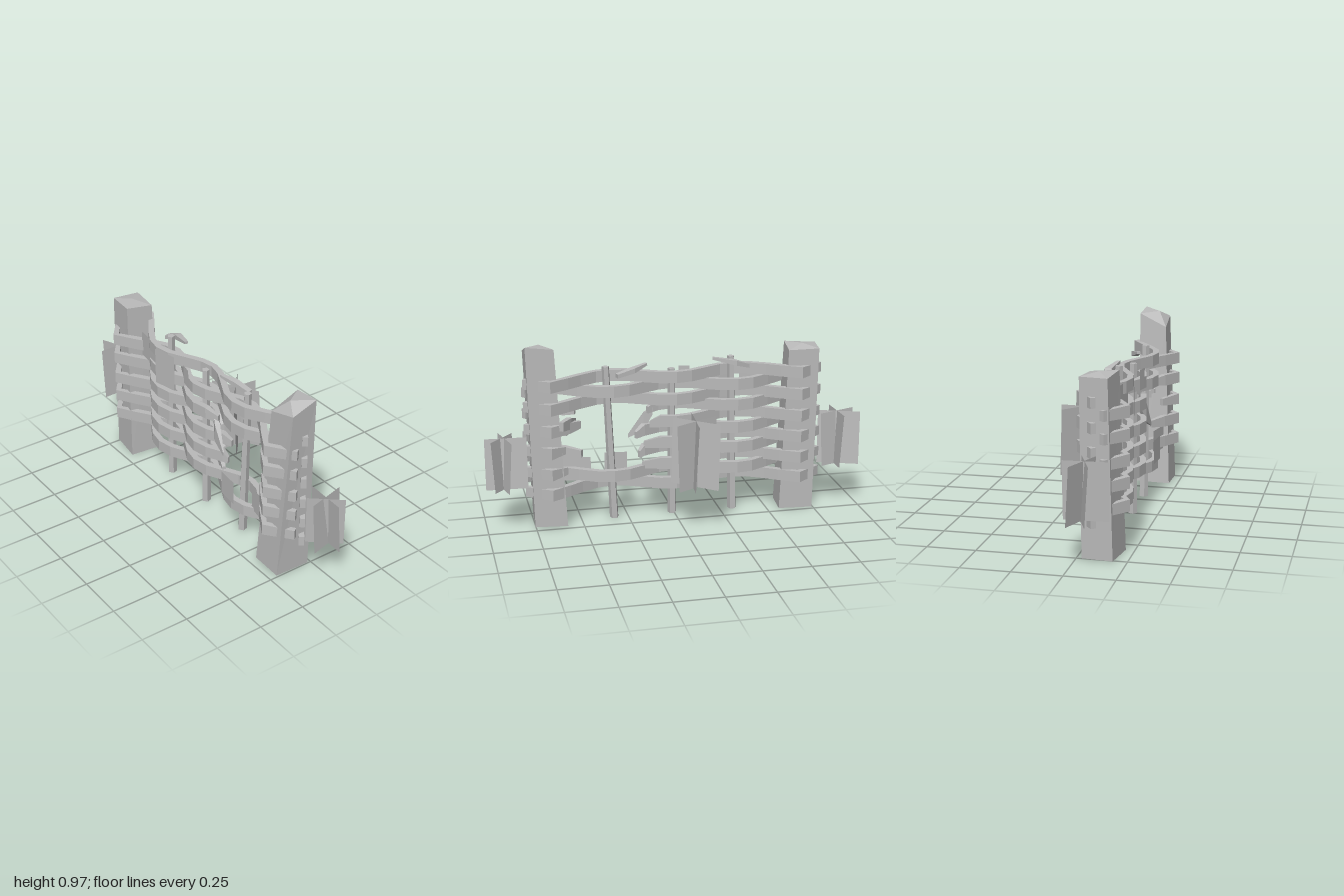
import * as THREE from 'three';

const wood = new THREE.MeshStandardMaterial({ color: 0xbababa, side: THREE.DoubleSide, flatShading: true });
wood.name = 'plain grey';

// Joins four-cornered rings into a solid; apex optionally raises the end cap.
function loft(rings, apex) {
  const out = [];
  const tri = (...p) => p.forEach(v => out.push(...v));
  for (let r = 0; r < rings.length - 1; r++) {
    const a = rings[r], b = rings[r + 1];
    for (let i = 0; i < 4; i++) {
      const j = (i + 1) % 4;
      tri(a[i], a[j], b[j]);
      tri(a[i], b[j], b[i]);
    }
  }
  const s = rings[0], e = rings[rings.length - 1];
  tri(s[0], s[3], s[2]);
  tri(s[0], s[2], s[1]);
  if (apex) {
    for (let i = 0; i < 4; i++) tri(e[i], e[(i + 1) % 4], apex);
  } else {
    tri(e[0], e[1], e[2]);
    tri(e[0], e[2], e[3]);
  }
  const g = new THREE.BufferGeometry();
  g.setAttribute('position', new THREE.Float32BufferAttribute(out, 3));
  g.computeVertexNormals();
  return g;
}

// Sweeps an upright rectangular section along a path; sizes scale each end.
function strip(points, h, t, startSize = 1, endSize = 1) {
  const last = points.length - 1;
  return loft(points.map(([x, y, z], i) => {
    const p = points[Math.max(i - 1, 0)], q = points[Math.min(i + 1, last)];
    const dx = q[0] - p[0], dz = q[2] - p[2], l = Math.hypot(dx, dz);
    const k = i === 0 ? startSize : i === last ? endSize : 1;
    const nx = -dz / l * t * k, nz = dx / l * t * k, v = h * k;
    return [[x + nx, y + v, z + nz], [x + nx, y - v, z + nz], [x - nx, y - v, z - nz], [x - nx, y + v, z - nz]];
  }));
}

// Half of the weave, as [x, offset from the middle plane]
const MID = 0.113;
const WAVE = [[0, 0.058], [0.08, 0.042], [0.165, 0], [0.25, -0.043], [0.33, -0.058], [0.41, -0.043],
  [0.5, 0.008], [0.57, 0.055], [0.66, 0.113], [0.785, 0.02]];

function weave(x) {
  const a = Math.abs(x);
  for (let i = 1; i < WAVE.length; i++) {
    const [x0, z0] = WAVE[i - 1], [x1, z1] = WAVE[i];
    if (a <= x1) return z0 + (z1 - z0) * (a - x0) / (x1 - x0);
  }
  return WAVE[WAVE.length - 1][1];
}

function railGeometry(y, side, from, to) {
  const xs = WAVE.map(p => p[0]);
  const all = [...xs.slice(1).map(x => -x).reverse(), ...xs].filter(x => x > from + 0.02 && x < to - 0.02);
  const pts = [from, ...all, to].map(x => [x, y, MID + side * weave(x)]);
  const brokenStart = from > -0.78, brokenEnd = to < 0.78;
  if (brokenEnd) pts[pts.length - 1][1] -= 0.02;
  return strip(pts, 0.03, 0.016, brokenStart ? 0.65 : 0.85, brokenEnd ? 0.6 : 0.85);
}

export function createModel() {
  const model = new THREE.Group();
  const add = (name, geometry, parent = model) => {
    const m = new THREE.Mesh(geometry, wood);
    m.name = name;
    parent.add(m);
    return m;
  };
  const group = name => {
    const g = new THREE.Group();
    g.name = name;
    model.add(g);
    return g;
  };

  // End posts, tapered and leaning
  add('rightPost', loft([
    [[-0.745, 0, 0.025], [-0.76, 0, 0.18], [-0.58, 0, 0.205], [-0.565, 0, 0.04]],
    [[-0.76, 0.885, 0.02], [-0.78, 0.885, 0.16], [-0.615, 0.895, 0.18], [-0.6, 0.88, 0.035]]
  ], [-0.69, 0.9, 0.1]));
  add('leftPost', loft([
    [[0.585, 0.005, 0.02], [0.57, 0.005, 0.205], [0.745, 0.005, 0.21], [0.755, 0.01, 0.025]],
    [[0.635, 0.955, 0.025], [0.625, 0.885, 0.17], [0.78, 0.925, 0.165], [0.78, 0.972, 0.03]]
  ], [0.7, 0.962, 0.12]));

  // Upright stakes: bottom x, top x, z, height
  const stakes = group('stakes');
  for (const [x0, x1, z, h] of [[-0.32, -0.305, 0.11, 0.85], [0.01, 0.012, 0.115, 0.8], [0.325, 0.36, 0.11, 0.83]]) {
    const g = new THREE.CylinderGeometry(0.02, 0.024, h, 5, 1);
    g.translate(0, h / 2, 0);
    const p = g.attributes.position;
    for (let i = 0; i < p.count; i++) p.setX(i, p.getX(i) + x0 + (x1 - x0) * p.getY(i) / h);
    g.translate(0, 0, z);
    g.computeVertexNormals();
    add('stake', g, stakes);
  }

  // Woven rails: height, side at the posts (1 front, -1 back), break start and end
  const rails = group('wovenRails');
  const E = 0.785;
  for (const [y, side, gapStart, gapEnd] of [
    [0.71, 1], [0.598, 1, 0.14, 0.52], [0.475, 1, 0.21, 0.56], [0.365, 1, 0.19, 0.49], [0.252, 1],
    [0.768, -1], [0.648, -1], [0.53, -1, 0.13, 0.5], [0.415, -1, 0.16, 0.59], [0.3, -1, 0.17, 0.58], [0.19, -1]
  ]) {
    if (gapStart === undefined) {
      add('rail', railGeometry(y, side, -E, E), rails);
    } else {
      add('brokenRail', railGeometry(y, side, -E, gapStart), rails);
      add('brokenRail', railGeometry(y, side, gapEnd, E), rails);
    }
  }

  // Splintered pieces beside the hole and above the top rail
  const splinters = group('splinters');
  add('splinter', strip([[0.11, 0.57, 0.13], [0.155, 0.51, 0.145], [0.235, 0.43, 0.165]], 0.05, 0.014, 0.4, 0.2), splinters);
  add('splinter', strip([[0.52, 0.545, 0.13], [0.56, 0.55, 0.07], [0.61, 0.555, 0.0]], 0.03, 0.015, 0.4, 0.8), splinters);
  add('topSplinter', strip([[-0.39, 0.8, 0.08], [-0.32, 0.825, 0.058], [-0.2, 0.848, 0.085]], 0.013, 0.018, 0.8, 0.5), splinters);
  add('topSplinter', strip([[0.145, 0.83, 0.115], [0.22, 0.81, 0.08], [0.31, 0.79, 0.058]], 0.013, 0.018, 0.5, 0.8), splinters);

  // Thin leaf plates on the front: x range, y range
  const patches = group('leafPlates');
  for (const [x0, x1, y0, y1] of [[-0.525, -0.365, 0.65, 0.79], [-0.33, -0.195, 0.59, 0.79],
    [-0.1, -0.04, 0.69, 0.79], [0.24, 0.36, 0.205, 0.335], [0.44, 0.59, 0.205, 0.335]]) {
    const z = x => MID + Math.abs(weave(x)) + 0.022;
    const m = add('leafPlate', new THREE.PlaneGeometry(x1 - x0, y1 - y0), patches);
    m.position.set((x0 + x1) / 2, (y0 + y1) / 2, z((x0 + x1) / 2));
    m.rotation.y = -Math.atan2(z(x1) - z(x0), x1 - x0) * 0.7;
  }

  // Crossed grass cards: each line is [x0, z0, x1, z1] on the ground plan
  const tufts = [
    [0.23, 0.52, [[-0.885, -0.03, -0.875, 0.19], [-1, 0.02, -0.79, 0.1], [-0.995, 0.11, -0.79, 0.03]]],
    [0.23, 0.5, [[0.785, 0.033, 1, 0.043], [0.88, -0.06, 0.93, 0.14], [0.845, 0.12, 0.965, -0.02]]],
    [0.23, 0.58, [[-0.045, -0.25, -0.065, 0.015], [-0.19, -0.07, 0.045, -0.205], [-0.165, -0.225, 0.045, -0.045]]]
  ];
  for (const [y0, y1, lines] of tufts) {
    const tuft = group('grassTuft');
    for (const [x0, z0, x1, z1] of lines) {
      const l = Math.hypot(x1 - x0, z1 - z0);
      const nx = -(z1 - z0) / l * 0.009, nz = (x1 - x0) / l * 0.009;
      // Each card leans slightly out of the vertical
      const g = new THREE.PlaneGeometry(1, 1);
      const p = g.attributes.position;
      for (let i = 0; i < p.count; i++) {
        const u = p.getX(i) + 0.5, v = p.getY(i) + 0.5, s = v * 2 - 1;
        p.setXYZ(i, x0 + (x1 - x0) * u + nx * s, y0 + (y1 - y0) * v, z0 + (z1 - z0) * u + nz * s);
      }
      g.computeVertexNormals();
      add('grassCard', g, tuft);
    }
  }
  return model;
}
